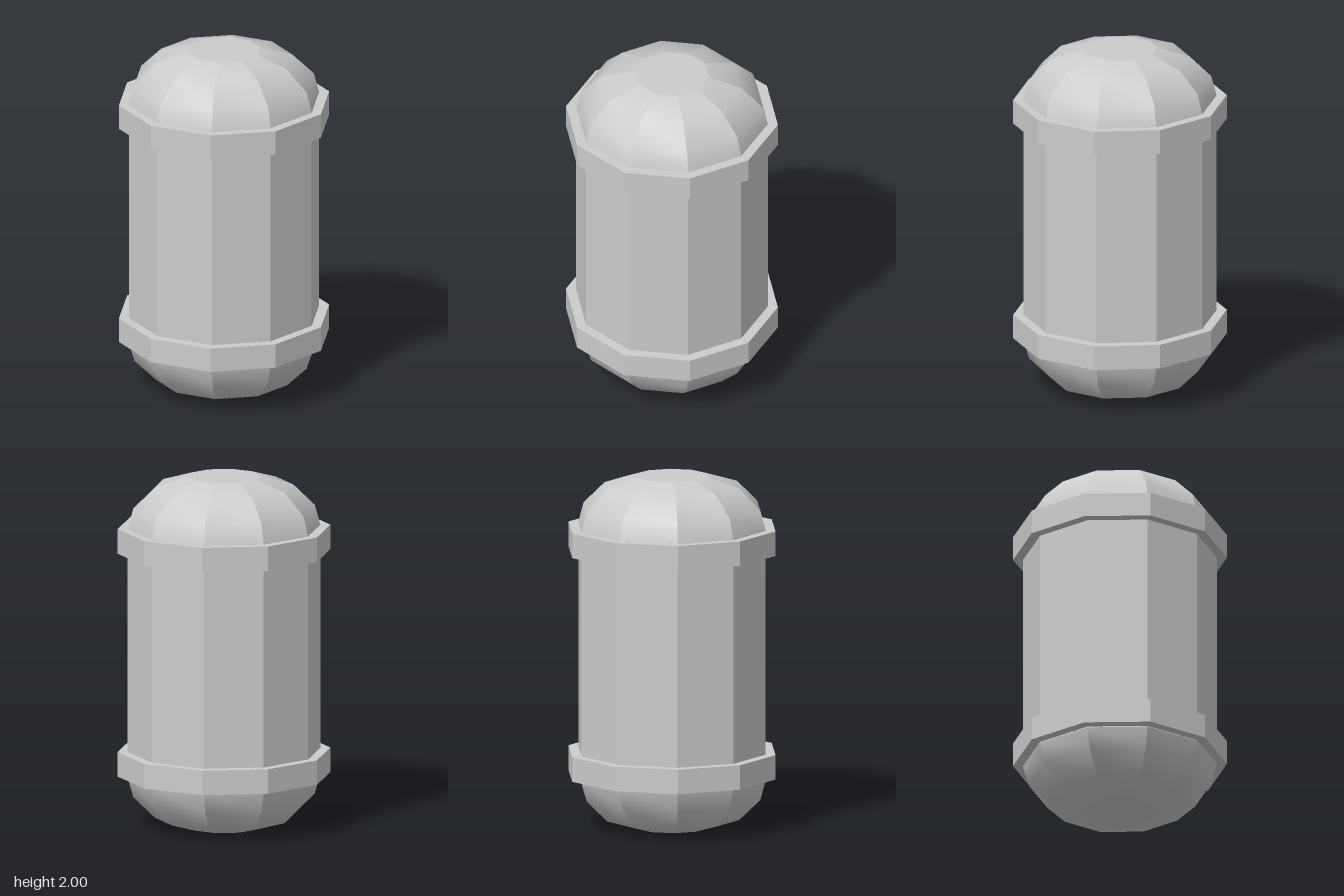
import * as THREE from 'three';
import { mergeGeometries } from 'three/addons/utils/BufferGeometryUtils.js';

const SIDES = 10;
const START = THREE.MathUtils.degToRad(10); // turn of the ten-sided outline
const STEP = (Math.PI * 2) / SIDES;
const flat = new THREE.MeshStandardMaterial({ color: 0xcccccc, flatShading: true });
const smooth = new THREE.MeshStandardMaterial({ color: 0xcccccc });

// ten-sided prism between two heights
function prism(name, radius, y0, y1) {
  const geo = new THREE.CylinderGeometry(radius, radius, y1 - y0, SIDES, 1, false, START);
  const mesh = new THREE.Mesh(geo, flat);
  mesh.position.y = (y0 + y1) / 2;
  mesh.name = name;
  return mesh;
}

// dome of ten gores, each smooth along its length and creased against its neighbours
function dome(name, profile, capY, capRadius, up) {
  const points = profile.map(([r, y]) => new THREE.Vector2(r, y));
  const parts = [];
  for (let i = 0; i < SIDES; i++) {
    const gore = new THREE.LatheGeometry(points, 1, START + i * STEP, STEP);
    gore.computeVertexNormals();
    parts.push(gore);
  }
  // flat end
  const cap = new THREE.CircleGeometry(capRadius, SIDES, up * (START - Math.PI / 2));
  cap.rotateX((-up * Math.PI) / 2);
  cap.translate(0, capY, 0);
  parts.push(cap);
  const mesh = new THREE.Mesh(mergeGeometries(parts), smooth);
  mesh.name = name;
  return mesh;
}

export function createModel() {
  const group = new THREE.Group();
  group.name = 'capsuleCanister';

  group.add(prism('body', 0.543, 0.3, 1.7));
  group.add(prism('lowerBand', 0.6, 0.295, 0.435));
  group.add(prism('upperBand', 0.6, 1.57, 1.71));

  // radius and height above the band
  const profile = [[0.543, 0], [0.512, 0.115], [0.39, 0.235], [0.21, 0.29]];
  const top = profile.map(([r, h]) => [r, 1.71 + h]);
  const bottom = profile.map(([r, h]) => [r, 0.29 - h]).reverse();
  group.add(dome('upperDome', top, 2, 0.21, 1));
  group.add(dome('lowerDome', bottom, 0, 0.21, -1));

  // close the small step under each dome edge
  group.add(prism('upperDomeBase', 0.543, 1.7, 1.711));
  group.add(prism('lowerDomeBase', 0.543, 0.289, 0.3));
  return group;
}
